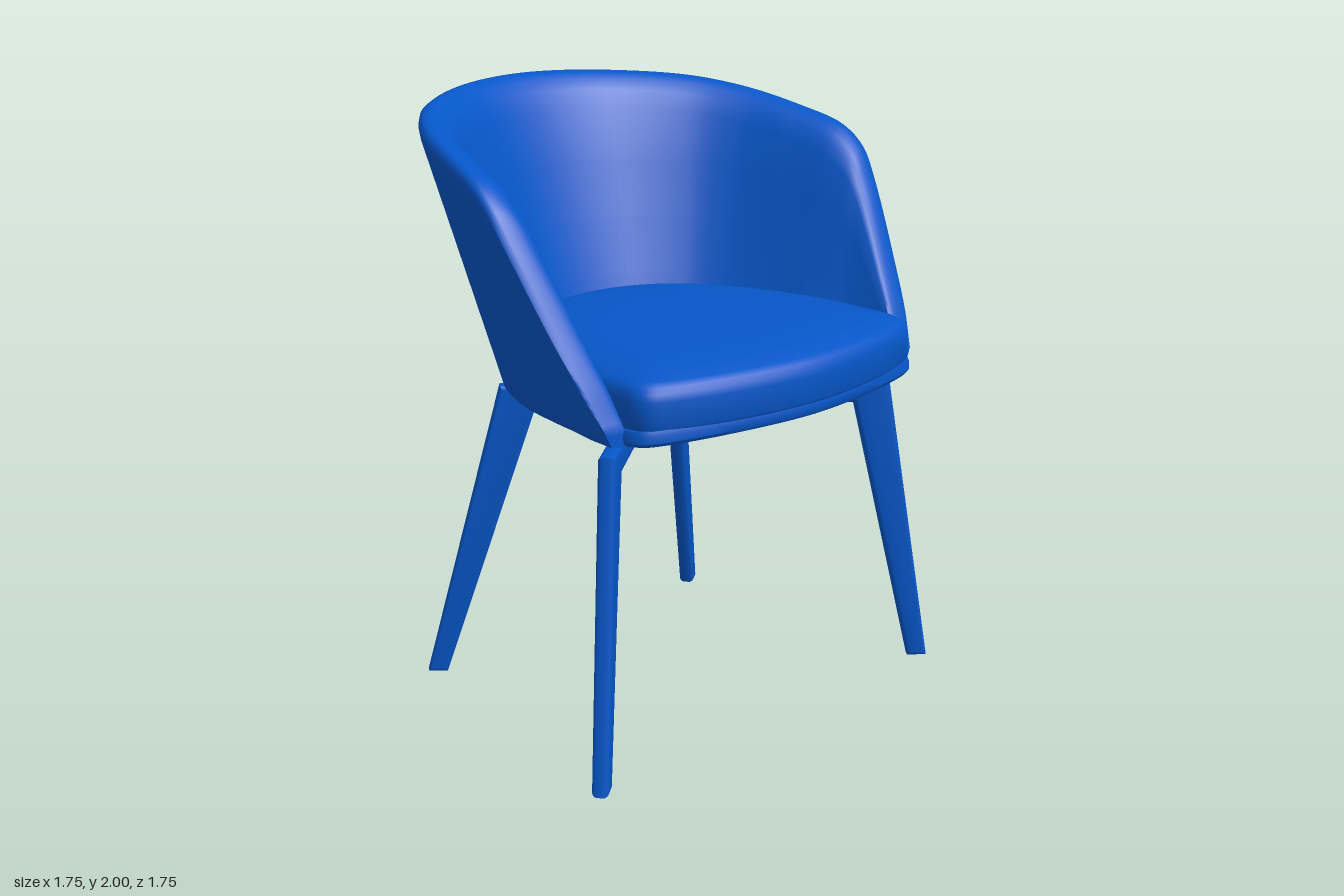
import * as THREE from 'three';
import { toCreasedNormals } from 'three/addons/utils/BufferGeometryUtils.js';

const V = (x, y, z) => new THREE.Vector3(x, y, z);
const material = new THREE.MeshStandardMaterial({ color: 0x0656c8 });

function add(parent, name, geometry) {
  const mesh = new THREE.Mesh(geometry, material);
  mesh.name = name;
  parent.add(mesh);
  return mesh;
}

// Skin closed rings of equal length and cap both ends
function loft(rings, crease) {
  const n = rings[0].length, pos = [], idx = [];
  rings.forEach(r => r.forEach(p => pos.push(p.x, p.y, p.z)));
  for (let i = 0; i < rings.length - 1; i++) {
    for (let j = 0; j < n; j++) {
      const a = i * n + j, b = i * n + (j + 1) % n;
      idx.push(a, b, a + n, b, b + n, a + n);
    }
  }
  [0, rings.length - 1].forEach(i => {
    const c = rings[i].reduce((s, p) => s.add(p), V(0, 0, 0)).divideScalar(n);
    const ci = pos.length / 3;
    pos.push(c.x, c.y, c.z);
    for (let j = 0; j < n; j++) {
      const a = i * n + j, b = i * n + (j + 1) % n;
      if (i === 0) idx.push(ci, b, a); else idx.push(ci, a, b);
    }
  });
  // Turn all faces outward, judged by the signed volume
  const at = k => V(pos[3 * k], pos[3 * k + 1] - 1, pos[3 * k + 2]);
  let volume = 0;
  for (let k = 0; k < idx.length; k += 3) volume += at(idx[k]).dot(at(idx[k + 1]).cross(at(idx[k + 2])));
  if (volume < 0) idx.reverse();
  const g = new THREE.BufferGeometry();
  g.setAttribute('position', new THREE.Float32BufferAttribute(pos, 3));
  g.setIndex(idx);
  return toCreasedNormals(g, crease);
}

// Half a curve, listed from the centre line outward, mirrored in x
function mirroredCurve(half) {
  const pts = [...half.slice(1).reverse().map(([x, y, z]) => V(-x, y, z)), ...half.map(p => V(...p))];
  return new THREE.CatmullRomCurve3(pts, false, 'centripetal');
}

// Plan outline [x, z] from front middle to back middle, mirrored and closed
function outline(half) {
  const pts = half.map(([x, z]) => V(x, 0, z));
  const other = half.slice(1, -1).reverse().map(([x, z]) => V(-x, 0, z));
  return new THREE.CatmullRomCurve3([...pts, ...other], true, 'centripetal').getPoints(144).slice(0, -1);
}

// Stack of scaled outlines [scale, y]; tilt gives the slope along z
function slab(points, levels, tilt) {
  return loft(levels.map(([s, y]) => points.map(p => V(p.x * s, y + tilt * p.z, p.z * s))), 0.6);
}

// Wraparound back with sloping arms
function shellGeometry() {
  const rim = mirroredCurve([
    [0, 2.0, -0.835], [0.31, 1.99, -0.775], [0.59, 1.965, -0.59], [0.715, 1.93, -0.41], [0.78, 1.882, -0.2],
    [0.817, 1.83, -0.025], [0.822, 1.765, 0.06], [0.808, 1.66, 0.13], [0.755, 1.4, 0.275], [0.715, 1.25, 0.36],
    [0.678, 1.14, 0.415]]);
  const foot = mirroredCurve([
    [0, 1.03, -0.575], [0.218, 1.03, -0.535], [0.403, 1.035, -0.405], [0.495, 1.045, -0.27], [0.56, 1.055, -0.1],
    [0.59, 1.06, 0.05], [0.605, 1.065, 0.13], [0.617, 1.07, 0.19], [0.637, 1.075, 0.3], [0.647, 1.08, 0.37],
    [0.652, 1.083, 0.42]]);
  // [height fraction, depth fraction] round the wall section
  const section = [[0, 0.2], [0.006, 0.07], [0.03, 0], [0.2, 0], [0.4, 0], [0.6, 0], [0.8, 0], [0.93, 0], [0.965, 0.03],
    [0.988, 0.12], [0.998, 0.25], [1, 0.4], [0.994, 0.6], [0.975, 0.78], [0.94, 0.92], [0.88, 1],
    [0.7, 1], [0.5, 1], [0.3, 1], [0.1, 1], [0, 1]];
  const rings = [], N = 144;
  for (let i = 0; i <= N; i++) {
    const t = i / N, a = Math.abs(2 * t - 1);
    const R = rim.getPoint(t), B = foot.getPoint(t), d = foot.getTangent(t);
    const inward = V(-d.z, 0, d.x).normalize();
    const low = 0.135 + 0.075 * Math.cos(Math.PI * a), high = 0.12 - 0.05 * a ** 6;
    rings.push(section.map(([h, f]) =>
      B.clone().lerp(R, h).addScaledVector(inward, f * THREE.MathUtils.lerp(low, high, h))));
  }
  return loft(rings, 0.8);
}

// Leg, its horizontal arm and the raised spacer on it cut from one profile, running outward along +x
function legGeometry(shoulder, foot, spacer) {
  const b = 0.016;
  const profile = [[0, 0.947 + b], [shoulder - 0.108, 0.947 + b], [foot - 0.07 + b, b], [foot - b, b],
    [shoulder - b, 1.034 - b], [spacer, 1.034 - b], [spacer - 0.02, 1.07 - b], [0, 1.07 - b]];
  const shape = new THREE.Shape(profile.map(([x, y]) => new THREE.Vector2(x, y)));
  const g = new THREE.ExtrudeGeometry(shape, {
    depth: 0.022, bevelEnabled: true, bevelThickness: b, bevelSize: b, bevelSegments: 4 });
  return toCreasedNormals(g.translate(0, 0, -0.011), 0.5);
}

export function createModel() {
  const model = new THREE.Group();
  model.name = 'armchair';
  const chair = new THREE.Group();
  chair.name = 'chair';
  chair.rotation.y = Math.PI / 4;
  model.add(chair);

  add(chair, 'backrestShell', shellGeometry());

  // Seat base panel, sloping gently up to the front
  const baseOutline = outline([[0, 0.615], [0.3, 0.58], [0.53, 0.52], [0.586, 0.49], [0.608, 0.45], [0.612, 0.4],
    [0.605, 0.2], [0.55, -0.1], [0.395, -0.395], [0.212, -0.525], [0, -0.565]]);
  add(chair, 'seatBase', slab(baseOutline,
    [[0.97, 1.058], [0.988, 1.061], [1, 1.072], [1, 1.095], [0.992, 1.11]], 0.05));

  // Crowned cushion
  const cushionOutline = outline([[0, 0.617], [0.3, 0.582], [0.52, 0.52], [0.575, 0.488], [0.595, 0.45], [0.597, 0.4],
    [0.59, 0.2], [0.56, 0], [0.46, -0.25], [0.28, -0.45], [0, -0.53]]);
  add(chair, 'seatCushion', slab(cushionOutline,
    [[0.98, 1.122], [0.99, 1.126], [1, 1.14], [1, 1.22], [0.993, 1.243], [0.975, 1.26], [0.94, 1.273],
      [0.8, 1.289], [0.6, 1.296], [0.4, 1.299], [0.2, 1.3], [0.05, 1.3]], 0));

  // Four legs meeting at one hub under the seat
  const hubZ = -0.141;
  for (const side of [1, -1]) {
    for (const [name, x, z, shoulder, foot, spacer] of [
      ['FrontLeg', 0.728, 0.445, 0.81, 0.974, 0.38], ['BackLeg', 0.594, -0.594, 0.51, 0.78, 0.13]]) {
      const leg = add(chair, (side > 0 ? 'left' : 'right') + name, legGeometry(shoulder, foot, spacer));
      leg.position.z = hubZ;
      leg.rotation.y = -Math.atan2(z - hubZ, x * side);
    }
  }

  // Cross pieces tying the arms
  for (const [name, width, z] of [['frontCrossPiece', 0.64, 0.14], ['backCrossPiece', 0.36, -0.29]]) {
    add(chair, name, new THREE.BoxGeometry(width, 0.08, 0.05)).position.set(0, 0.99, z);
  }
  return model;
}
